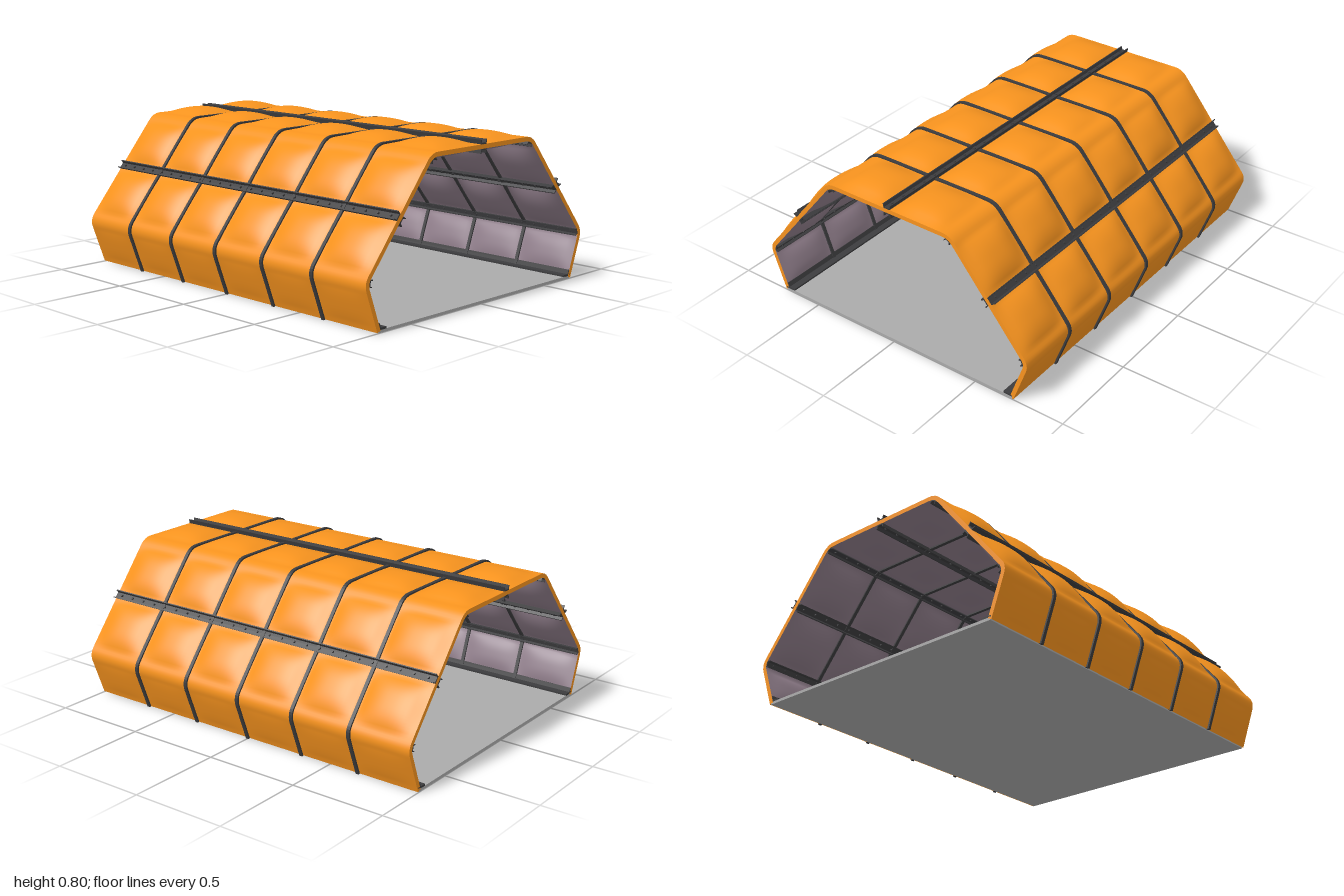
import * as THREE from 'three';
import { mergeGeometries } from 'three/addons/utils/BufferGeometryUtils.js';

const mat = (color, side = THREE.FrontSide) => new THREE.MeshStandardMaterial({ color, side });
const HALF = 0.011; // half thickness of the shell
const CELLS = 6;

// Corner points of half the arch, as (z, y), from the foot up to the ridge
const foot = new THREE.Vector2(0.712, 0.006);
const elbow = new THREE.Vector2(0.795, 0.235);
const shoulder = new THREE.Vector2(0.365, 0.757);
const ridge = new THREE.Vector2(0, 0.757);
const mid = elbow.clone().lerp(shoulder, 0.5);

// Samples of the arch: point, outward normal and padding depth outside / inside
function archSamples() {
  const half = [];
  const push = (p, out = 0, inn = 0) => half.push({ z: p.x, y: p.y, out, inn });
  // straight stretch, padded between margins at both ends
  const straight = (a, b, trimA, trimB, out, inn) => {
    const len = a.distanceTo(b), n = 20;
    for (let k = 0; k <= n; k++) {
      const s = trimA + (len - trimA - trimB) * k / n;
      const lo = trimA + (trimA ? 0.01 : 0.026), hi = len - trimB - (trimB ? 0.01 : 0.026);
      const b1 = swell((s - lo) / (hi - lo));
      push(a.clone().lerp(b, s / len), out * b1, inn * b1);
    }
  };
  const bend = (a, c, b, r) => {
    const p = c.clone().add(a.clone().sub(c).setLength(r));
    const q = c.clone().add(b.clone().sub(c).setLength(r));
    const curve = new THREE.QuadraticBezierCurve(p, c, q);
    for (let k = 1; k < 6; k++) push(curve.getPoint(k / 6));
  };
  straight(foot, elbow, 0, 0.035, 0.004, 0.016);
  bend(foot, elbow, mid, 0.035);
  straight(elbow, mid, 0.035, 0, 0.032, 0.032);
  half.pop();
  straight(mid, shoulder, 0, 0.04, 0.032, 0.032);
  bend(mid, shoulder, ridge, 0.04);
  straight(shoulder, ridge, 0.04, 0, 0.032, 0.032);
  const all = half.concat(half.slice(0, -1).reverse().map(p => ({ ...p, z: -p.z })));
  all.forEach((p, j) => {
    const a = all[Math.max(j - 1, 0)], b = all[Math.min(j + 1, all.length - 1)];
    const l = Math.hypot(b.z - a.z, b.y - a.y);
    p.nz = (b.y - a.y) / l;
    p.ny = -(b.z - a.z) / l;
  });
  return all;
}

// Pillow-like swelling, 0 at both edges of 0..1 and 1 in the middle
function swell(u) {
  return u <= 0 || u >= 1 ? 0 : 1 - Math.pow(Math.abs(2 * u - 1), 2.5);
}

// Quilted skin on the outer (sign 1) or inner (sign -1) face of the arch
function skin(arch, sign) {
  const per = 14, nx = CELLS * per, pos = [], index = [];
  arch.forEach((p, j) => {
    for (let i = 0; i <= nx; i++) {
      const w = swell(((i % per) / per - 0.03) / 0.94);
      const d = sign * (HALF + w * (sign > 0 ? p.out : p.inn));
      pos.push(-1 + 2 * i / nx, p.y + p.ny * d, p.z + p.nz * d);
      if (i < nx && j < arch.length - 1) {
        const a = j * (nx + 1) + i, b = a + 1, c = b + nx + 1, e = a + nx + 1;
        if (sign > 0) index.push(a, b, c, a, c, e);
        else index.push(a, c, b, a, e, c);
      }
    }
  });
  const g = new THREE.BufferGeometry();
  g.setAttribute('position', new THREE.Float32BufferAttribute(pos, 3));
  g.setIndex(index);
  g.computeVertexNormals();
  return g;
}

// Extrude a (z, y) outline along x, centred on x = 0
function extrudeX(points, length) {
  const shape = new THREE.Shape(points.map(([z, y]) => new THREE.Vector2(-z, y)));
  const g = new THREE.ExtrudeGeometry(shape, { depth: length, bevelEnabled: false });
  return g.translate(0, 0, -length / 2).rotateY(Math.PI / 2);
}

// Strip that follows the arch between two offsets from its middle
function band(arch, inner, outer, width) {
  const edge = d => arch.map(p => [p.z + p.nz * d, p.y + p.ny * d]);
  return extrudeX([...edge(outer), ...edge(inner).reverse()], width);
}

// U-channel with splayed flanges and a row of bolts, opening toward +y
function channel() {
  const right = [[0.018, 0.01], [0.023, 0.033], [0.018, 0.033], [0.014, 0.017]];
  const left = right.map(([z, y]) => [-z, y]).reverse();
  const parts = [extrudeX([...right, ...left], 2).toNonIndexed()];
  for (let i = 0; i < 26; i++) {
    const bolt = new THREE.CylinderGeometry(0.006, 0.006, 0.01, 8).toNonIndexed();
    parts.push(bolt.translate(-0.96 + i * 1.92 / 25, 0.021, 0));
  }
  return mergeGeometries(parts);
}

export function createModel() {
  const model = new THREE.Group();
  const orange = mat(0xf7931e, THREE.DoubleSide);
  const lining = mat(0x8f7d8a, THREE.DoubleSide);
  const dark = mat(0x3c3c3e);
  const add = (name, geometry, material, x = 0, y = 0, z = 0) => {
    const m = new THREE.Mesh(geometry, material);
    m.name = name;
    m.position.set(x, y, z);
    model.add(m);
    return m;
  };
  const arch = archSamples();

  // Quilted cover, lining and the edges joining them
  add('outerCover', skin(arch, 1), orange);
  add('innerLining', skin(arch, -1), lining);
  const rim = band(arch, -HALF, HALF, 0.004);
  for (const s of [-1, 1]) add('endRim', rim, orange, s * 0.998);

  // Arched ribs between the panels
  const rib = band(arch, -0.02, 0.02, 0.018);
  for (let i = 1; i < CELLS; i++) add('rib', rib, dark, -1 + 2 * i / CELLS);

  // Bolted rails: both faces at ridge and mid slope, inside only at the bends
  const rail = channel();
  const addRail = (name, z, y, nz, ny, scale = 1) => {
    const m = add(name, rail, dark, 0, y, z);
    m.rotation.x = Math.atan2(nz, ny);
    m.scale.set(1, scale, scale);
  };
  for (const s of [1, -1]) addRail('ridgeRail', 0, ridge.y, 0, s);
  for (const side of [1, -1]) {
    for (const s of [1, -1]) addRail('slopeRail', side * mid.x, mid.y, s * side * 0.772, s * 0.636);
    addRail('elbowRail', side * 0.781, 0.238, -side * 0.97, -0.24, 0.8);
    addRail('shoulderRail', side * 0.36, 0.747, -side * 0.43, -0.9, 0.8);

    // Angle bracket along the foot
    add('footFlange', new THREE.BoxGeometry(2, 0.01, 0.055), dark, 0, 0.018, side * 0.692);
    const web = add('footWeb', new THREE.BoxGeometry(2, 0.03, 0.006), dark, 0, 0.03, side * 0.706);
    web.rotation.x = side * 0.346;
  }

  // Floor plate
  add('floor', new THREE.BoxGeometry(2, 0.014, 1.43), mat(0xaaaaaa), 0, 0.007, 0);
  return model;
}
